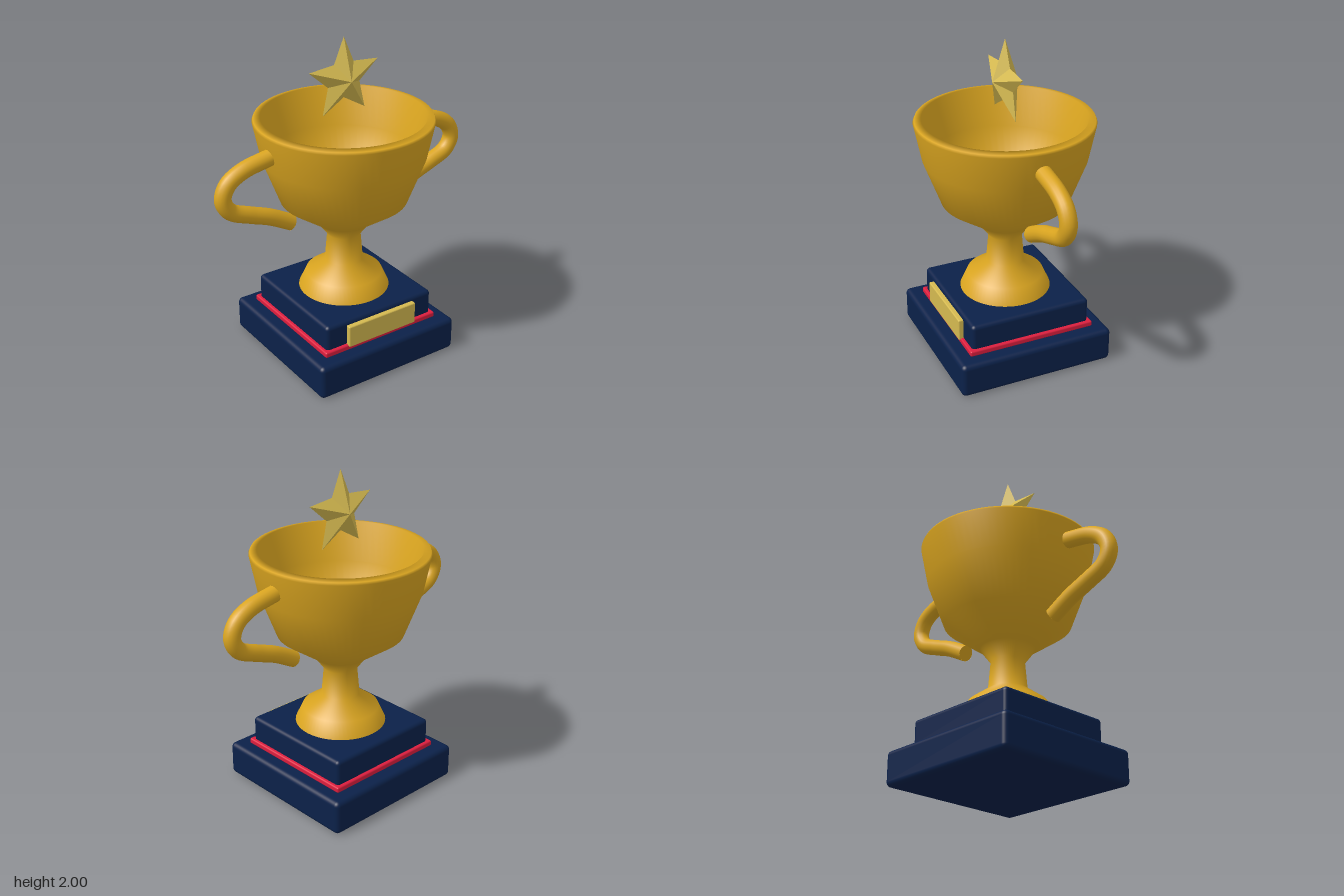
import * as THREE from 'three';
import { RoundedBoxGeometry } from 'three/addons/geometries/RoundedBoxGeometry.js';

const paint = (name, color, extra = {}) => {
  const m = new THREE.MeshStandardMaterial({ color, ...extra });
  m.name = name;
  return m;
};

// Five-pointed star with raised ridges on both faces
function starGeometry(outer, inner, depth) {
  const rim = [];
  for (let i = 0; i < 10; i++) {
    const a = Math.PI / 2 + (i * Math.PI) / 5;
    const r = i % 2 ? inner : outer;
    rim.push([Math.cos(a) * r, Math.sin(a) * r, 0]);
  }
  const pos = [];
  rim.forEach((p, i) => {
    const q = rim[(i + 1) % 10];
    pos.push(...p, ...q, 0, 0, depth);
    pos.push(...q, ...p, 0, 0, -depth);
  });
  const g = new THREE.BufferGeometry();
  g.setAttribute('position', new THREE.Float32BufferAttribute(pos, 3));
  g.computeVertexNormals();
  return g;
}

export function createModel() {
  const gold = paint('gold', 0xdaa520, { side: THREE.DoubleSide });
  const paleGold = paint('pale gold', 0xd4b950, { flatShading: true });
  const navy = paint('navy', 0x0b2149);
  const red = paint('red', 0xdc1e3e);

  const trophy = new THREE.Group();
  trophy.name = 'trophy';
  const add = (name, geometry, material, parent = trophy) => {
    const mesh = new THREE.Mesh(geometry, material);
    mesh.name = name;
    parent.add(mesh);
    return mesh;
  };
  const block = (name, w, y0, y1, d, r, material, z = 0) =>
    add(name, new RoundedBoxGeometry(w, y1 - y0, d, 4, r), material).position.set(0, (y0 + y1) / 2, z);

  // Stepped plinth with trim and name plate
  block('lowerPlinth', 0.985, 0, 0.215, 0.985, 0.03, navy);
  block('trimBand', 0.81, 0.212, 0.248, 0.81, 0.01, red);
  block('upperPlinth', 0.77, 0.23, 0.402, 0.77, 0.025, navy);
  block('namePlate', 0.49, 0.235, 0.375, 0.04, 0.008, paleGold, 0.395);

  // Foot, stem and hollow bowl in one turned profile
  const profile = [
    [0.28, 0.4], [0.235, 0.5], [0.117, 0.585], [0.102, 0.76], [0.165, 0.845],
    [0.385, 1.0], [0.49, 1.28], [0.535, 1.505], [0.528, 1.52], [0.487, 1.528],
    [0.445, 1.28], [0.345, 1.03], [0.14, 0.9], [0, 0.89],
  ].map(([x, y]) => new THREE.Vector2(x, y));
  add('cup', new THREE.LatheGeometry(profile, 64), gold);

  // Pair of curved handles
  const path = new THREE.CatmullRomCurve3(
    [
      [0.49, 1.388], [0.69, 1.345], [0.785, 1.285], [0.817, 1.2],
      [0.775, 1.12], [0.65, 1.063], [0.52, 1.013], [0.376, 0.937],
    ].map(([x, y]) => new THREE.Vector3(x, y, 0))
  );
  for (const [name, turn] of [['leftHandle', 0], ['rightHandle', Math.PI]]) {
    const handle = new THREE.Group();
    handle.name = name;
    handle.rotation.y = turn;
    add('handleTube', new THREE.TubeGeometry(path, 48, 0.05, 16), gold, handle);
    for (const t of [0, 1]) {
      const cap = add('handleEnd', new THREE.CircleGeometry(0.05, 16), gold, handle);
      const out = path.getTangentAt(t).multiplyScalar(t ? 1 : -1);
      cap.position.copy(path.getPointAt(t));
      cap.quaternion.setFromUnitVectors(new THREE.Vector3(0, 0, 1), out);
    }
    trophy.add(handle);
  }

  // Star above the bowl
  add('star', starGeometry(0.25, 0.115, 0.08), paleGold).position.y = 1.75;

  return trophy;
}
